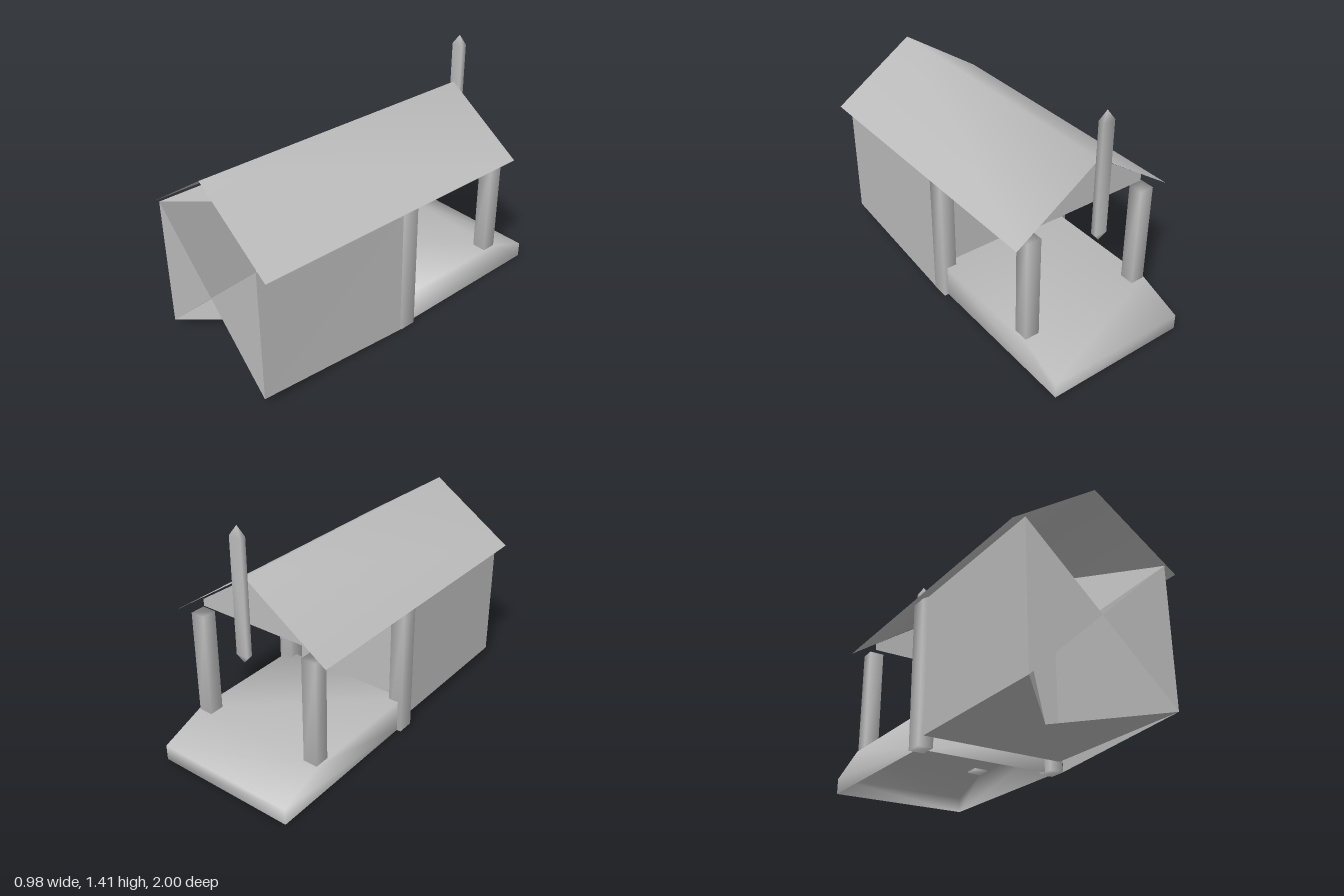
import * as THREE from 'three';
import { mergeVertices } from 'three/addons/utils/BufferGeometryUtils.js';

const stone = new THREE.MeshStandardMaterial({ color: 0xbcbcbc, side: THREE.DoubleSide });
stone.name = 'grey stone';

// Flat faces from convex corner loops, each loop turned into a triangle fan
function faces(loops) {
  const pos = [];
  for (const l of loops)
    for (let i = 1; i < l.length - 1; i++) pos.push(...l[0], ...l[i], ...l[i + 1]);
  const g = new THREE.BufferGeometry();
  g.setAttribute('position', new THREE.Float32BufferAttribute(pos, 3));
  g.computeVertexNormals();
  return g;
}

// Share normals across all edges
function smooth(g) {
  g.deleteAttribute('normal');
  g.deleteAttribute('uv');
  const m = mergeVertices(g);
  m.computeVertexNormals();
  return m;
}

export function createModel() {
  const group = new THREE.Group();
  const add = (name, geometry) => {
    const m = new THREE.Mesh(geometry, stone);
    m.name = name;
    group.add(m);
    return m;
  };

  // Thin gable roof, shaded smoothly over the ridge
  add('roof', smooth(faces([
    [[0, 1.13, 1], [0.49, 0.8, 1], [0.49, 0.8, -0.76], [0, 1.13, -0.76]],
    [[0, 1.13, -0.76], [-0.49, 0.8, -0.76], [-0.49, 0.8, 1], [0, 1.13, 1]],
  ])));

  // Gable panel over the porch, facing back
  add('gablePanel', faces([[[0, 1.115, -0.7], [0.36, 0.875, -0.7], [0.36, 0.835, -0.7],
    [-0.36, 0.835, -0.7], [-0.36, 0.875, -0.7]]]));

  // Room corners
  const w = 0.42, low = 0.055, top = 0.83, zf = 1, zb = 0.075;
  const FLB = [w, low, zf], FRB = [-w, low, zf], FLT = [w, top, zf], FRT = [-w, top, zf];
  const BLB = [w, low, zb], BRB = [-w, low, zb], BLT = [w, top, zb], BRT = [-w, top, zb];
  const front = [0, 0.445, zf], floor = [0, low, 0.53], ceiling = [0, top, 0.53];

  add('leftWall', faces([[FLB, BLB, BLT, FLT]]));
  add('rightWall', faces([[BRB, FRB, FRT, BRT]]));
  add('backWall', faces([[BLB, BRB, BRT, BLT]]));
  // Slanted panel leaning out from the left wall
  add('leftWallPanel', faces([[FLB, [0.442, 0, zb], [0.442, 0.76, zb]]]));
  // Front, floor and ceiling are cut away by triangular openings
  add('frontWall', faces([[front, FLB, FLT], [front, FRT, FRB]]));
  add('roomFloor', faces([[floor, BLB, FLB], [floor, BRB, BLB], [floor, FRB, BRB]]));
  add('roomCeiling', faces([[ceiling, FLT, BLT], [ceiling, BLT, BRT], [ceiling, BRT, FRT]]));
  // Inner flaps beside the openings
  add('upperFlap', faces([[ceiling, [0.135, 0.57, 0.64], FLT]]));
  add('lowerFlap', faces([[FRB, floor, [-0.155, 0.33, 0.64]]]));

  // Porch base: hollow shell with a sloping back end, open underneath
  const side = [[0, 0.02], [0.19, 0.02], [0.19, -0.74], [0.09, -1], [0, -1]];
  const loops = [side.map(([y, z]) => [w, y, z]).reverse(), side.map(([y, z]) => [-w, y, z])];
  for (let i = 0; i < side.length - 1; i++) {
    const [y0, z0] = side[i], [y1, z1] = side[i + 1];
    loops.push([[-w, y0, z0], [w, y0, z0], [w, y1, z1], [-w, y1, z1]]);
  }
  add('porchBase', smooth(faces(loops)));

  // Posts: tall wall posts cut to follow the roof, shorter flat-topped porch posts
  const post = (name, s, x, z, depth, y0, outerTop, innerTop) => {
    const g = new THREE.BoxGeometry(0.085, 1, depth);
    const p = g.attributes.position;
    for (let i = 0; i < p.count; i++) {
      const outer = p.getX(i) * s > 0;
      p.setY(i, p.getY(i) < 0 ? y0 : outer ? outerTop : innerTop);
    }
    add(name, smooth(g)).position.set(s * x, 0, z);
  };
  for (const s of [1, -1]) {
    const n = s > 0 ? 'left' : 'right';
    post(n + 'WallPost', s, 0.4025, 0.02, 0.1, 0, 0.82, 0.873);
    post(n + 'PorchPost', s, 0.37, -0.7, 0.085, 0.18, 0.795, 0.795);
  }

  // Pointed flat finial standing behind the roof
  const r = 0.036 * Math.SQRT2;
  const profile = [[0, 0.67], [r, 0.715], [r, 1.355], [0, 1.41]].map(([x, y]) => new THREE.Vector2(x, y));
  const finial = new THREE.LatheGeometry(profile, 4, Math.PI / 4);
  finial.scale(1, 1, 0.46);
  add('finial', smooth(finial)).position.z = -0.79;

  return group;
}
